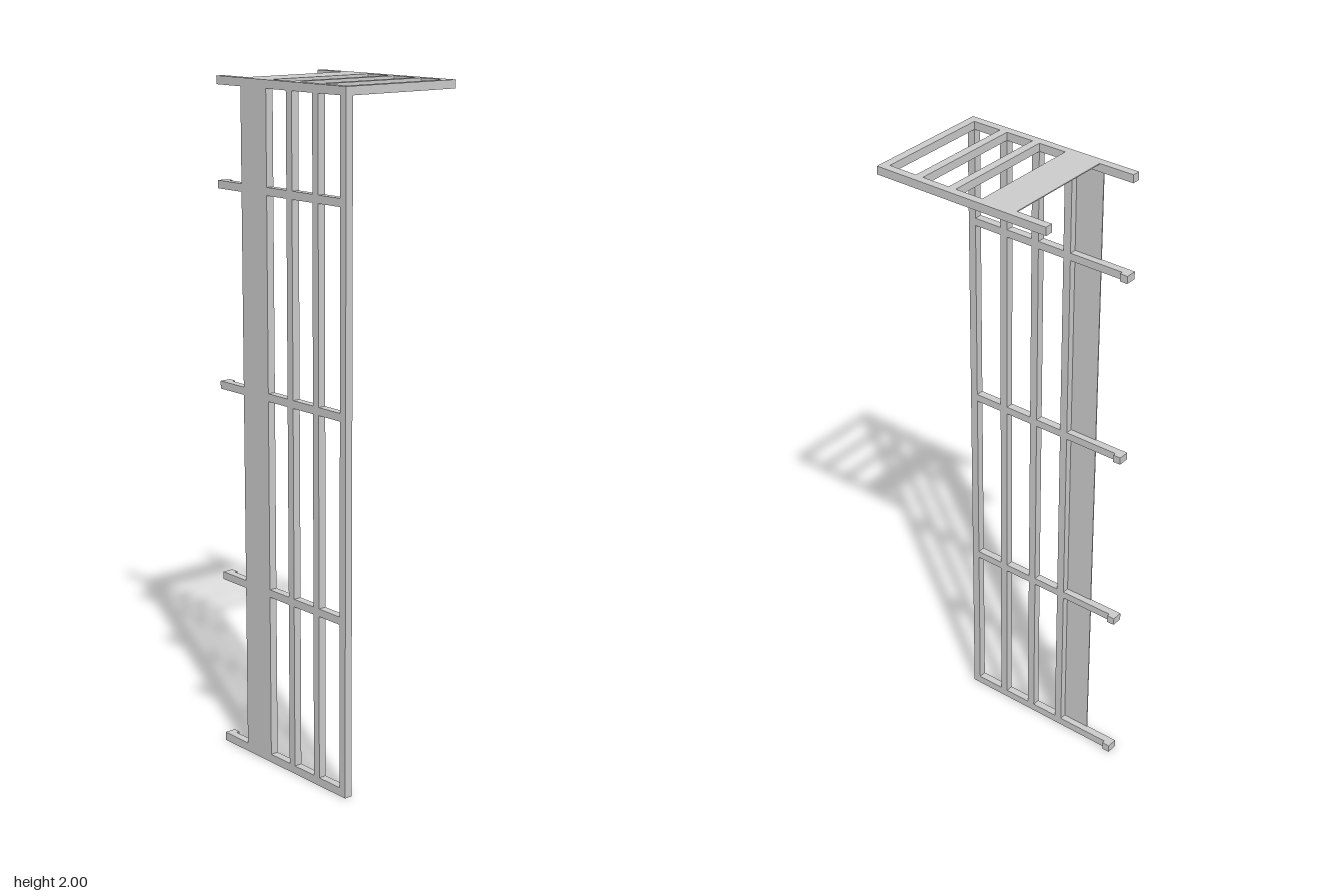
import * as THREE from 'three';

export function createModel() {
  const model = new THREE.Group();
  const material = new THREE.MeshStandardMaterial({ color: 0xcccccc, flatShading: true });
  const T = 0.024;                  // bar thickness
  const X = 0.198, Z = 0.277, H = 2; // half width, half depth, height
  const sheet = 0.003;              // thickness of the cover boards

  // box given by its lower and upper limits on each axis
  function bar(name, [x0, x1], [y0, y1], [z0, z1]) {
    const mesh = new THREE.Mesh(new THREE.BoxGeometry(x1 - x0, y1 - y0, z1 - z0), material);
    mesh.name = name;
    mesh.position.set((x0 + x1) / 2, (y0 + y1) / 2, (z0 + z1) / 2);
    model.add(mesh);
  }

  const wall = [-X, -X + T];
  const roof = [H - T, H];
  const inner = [-X + T, X - T];

  // roof frame: two side rails and the front crossbar
  bar('roofSideRail', wall, roof, [-Z, Z]);
  bar('roofSideRail', [X - T, X], roof, [-Z, Z]);
  bar('roofFrontBar', inner, roof, [Z - T, Z]);

  // wall frame: front post and horizontal rails with small end tabs
  bar('frontPost', wall, [0, H - T], [Z - T, Z]);
  const railHeights = [0.002, 0.516, 1.1, 1.684];
  for (const y of railHeights) {
    const span = [y === 0.002 ? 0 : y, y + 0.023];
    bar('wallRail', wall, span, [-Z, Z - T]);
    bar('railEndTab', [-X + T, -X + T + 0.01], span, [-Z, -Z + T]);
  }

  // slats run up the wall between its rails and on across the roof
  for (const z of [0.14, 0.03, -0.08]) {
    const depth = [z, z + T];
    railHeights.forEach((y, i) => {
      bar('wallSlat', wall, [y + 0.023, railHeights[i + 1] ?? H - T], depth);
    });
    bar('roofSlat', inner, roof, depth);
  }

  // thin boards covering the outer faces of wall and roof
  const boardDepth = [-0.168, -0.058];
  bar('wallBoard', [-X, -X + sheet], [0, H], boardDepth);
  bar('roofBoard', [-X, X], [H - sheet, H], boardDepth);

  return model;
}
